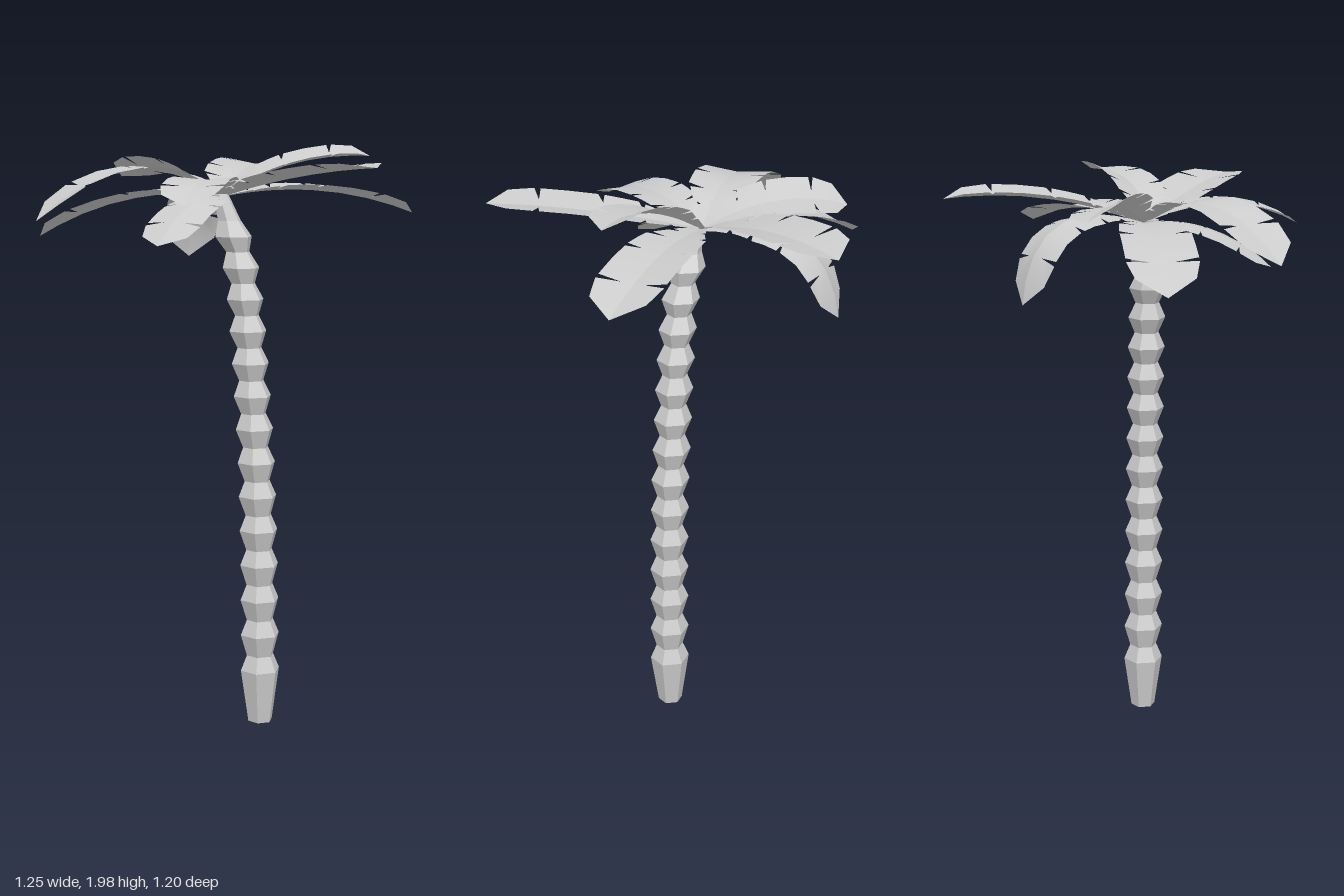
import * as THREE from 'three';

const grey = () => new THREE.MeshStandardMaterial({ color: 0xcccccc });

// Trunk: hexagonal rings that alternate between wide and narrow along a bent axis
function makeTrunk() {
  const axis = new THREE.SplineCurve([
    [0, 0.162], [0.4, 0.159], [0.8, 0.15], [1.2, 0.127], [1.5, 0.102], [1.68, 0.066], [1.82, 0.022],
  ].map(([y, x]) => new THREE.Vector2(y, x)));
  const samples = axis.getPoints(80);
  const xAt = (y) => samples.reduce((a, b) => (Math.abs(b.x - y) < Math.abs(a.x - y) ? b : a)).y;
  const rings = [[0, 0.043]];
  const bulges = 14;
  for (let i = 0; i < bulges; i++) {
    const f = i / (bulges - 1);
    const y = 0.185 + i * (0.128 - 0.013 * f);
    rings.push([y, 0.07 - 0.006 * f], [y + 0.053, 0.048 - 0.008 * f]);
  }
  rings.push([1.82, 0.026]);
  const geo = new THREE.CylinderGeometry(1, 1, 1, 6, rings.length - 1);
  const p = geo.attributes.position;
  for (let i = 0; i < p.count; i++) {
    const [y, r] = rings[Math.round((p.getY(i) + 0.5) * (rings.length - 1))];
    p.setXYZ(i, xAt(y) + p.getX(i) * r, y, 0.094 + p.getZ(i) * r);
  }
  const flat = geo.toNonIndexed();
  flat.computeVertexNormals();
  const mat = grey();
  mat.flatShading = true;
  const mesh = new THREE.Mesh(flat, mat);
  mesh.name = 'trunk';
  return mesh;
}

const BASE = new THREE.Vector3(0.02, 1.81, 0.07);
// Panels between the notches: start, end (along the rib) and outer half widths
const PANELS = [
  [0, 0.14, 0.2, 0.5], [0.14, 0.26, 0.55, 0.8], [0.26, 0.45, 0.9, 1], [0.45, 0.75, 1, 1],
];
const notchWidth = (t) => (t > 0.7 ? 0.35 : 0.15 + 0.4 * Math.min(1, t / 0.45));

// Leaf: two notched halves along an arched rib; fold lifts (+) or drops (-) the edges
function makeLeaf({ tip, rise, width, fold, roll = 0, bend }) {
  const end = new THREE.Vector3(...tip);
  const mid = bend ? new THREE.Vector3(...bend) : BASE.clone().lerp(end, 0.52).setY(rise);
  const rib = new THREE.QuadraticBezierCurve3(BASE, mid, end);
  const heading = end.clone().sub(BASE).setY(0).normalize();
  const across = new THREE.Vector3(-heading.z, 0, heading.x);
  const pos = [];
  const index = [];

  for (const side of [-1, 1]) {
    const seen = new Map();
    const vertex = (t, w) => {
      const key = t.toFixed(4) + '/' + w.toFixed(4);
      if (!seen.has(key)) {
        const tangent = rib.getTangent(t);
        const up = across.clone().cross(tangent).normalize();
        const out = across.clone().applyAxisAngle(tangent, roll);
        up.applyAxisAngle(tangent, roll);
        if (up.y < 0) up.negate();
        const v = rib.getPoint(t).addScaledVector(out, side * w * width)
          .addScaledVector(up, fold * w * width);
        seen.set(key, pos.length / 3);
        pos.push(v.x, v.y, v.z);
      }
      return seen.get(key);
    };
    const tri = (a, b, c) => index.push(...(side > 0 ? [a, c, b] : [a, b, c]));
    const quad = (a, b, c, d) => { tri(a, b, c); tri(a, c, d); };

    for (const [t0, t1, w0, w1] of PANELS) {
      const n = 2;
      for (let i = 0; i < n; i++) {
        const at = (k) => {
          const f = k / n;
          const t = THREE.MathUtils.lerp(t0, t1, f);
          const w = THREE.MathUtils.lerp(w0, w1, f);
          const outerT = THREE.MathUtils.lerp(t0 + 0.025, t1 - 0.005, f);
          return [vertex(t, 0), vertex(t, notchWidth(t)), vertex(outerT, w)];
        };
        const [a, b, c] = at(i);
        const [d, e, f] = at(i + 1);
        quad(a, d, e, b);
        quad(b, e, f, c);
      }
    }
    // pointed end piece
    const r0 = vertex(0.75, 0), r1 = vertex(0.89, 0), r2 = vertex(1, 0);
    const m = vertex(0.75, notchWidth(0.75)), o0 = vertex(0.775, 1), o1 = vertex(0.9, 0.82);
    quad(r0, r1, o1, m);
    tri(m, o1, o0);
    tri(r1, r2, o1);
  }
  const geo = new THREE.BufferGeometry();
  geo.setAttribute('position', new THREE.Float32BufferAttribute(pos, 3));
  geo.setIndex(index);
  geo.computeVertexNormals();
  const mat = grey();
  mat.side = THREE.DoubleSide;
  return new THREE.Mesh(geo, mat);
}

const LEAVES = {
  backLeaf: { tip: [0.035, 1.9, -0.6], rise: 1.94, width: 0.12, fold: 0.2 },
  backLeftSideLeaf: { tip: [0.625, 1.75, -0.245], rise: 1.875, width: 0.115, fold: 0.18 },
  leftLeaf: { tip: [0.5, 1.945, -0.045], bend: [0.25, 1.96, 0.11], width: 0.098, fold: 0.25, roll: 0.15 },
  frontLeftSideLeaf: { tip: [0.587, 1.915, 0.47], rise: 1.9, width: 0.115, fold: 0.18 },
  frontLeaf: { tip: [0.013, 1.8, 0.595], rise: 1.94, width: 0.102, fold: 0.1 },
  frontRightSideLeaf: { tip: [-0.52, 1.74, 0.41], rise: 2.02, width: 0.12, fold: 0.1 },
  rightLeaf: { tip: [-0.63, 1.67, 0.035], rise: 1.855, width: 0.115, fold: 0.18 },
  backRightSideLeaf: { tip: [-0.395, 1.87, -0.18], rise: 1.95, width: 0.1, fold: 0.15, roll: 0.3 },
  backDroopingLeaf: { tip: [-0.195, 1.58, -0.365], bend: [-0.17, 1.96, -0.33], width: 0.105, fold: -0.2 },
  frontDroopingLeaf: { tip: [-0.1, 1.67, 0.48], rise: 1.84, width: 0.1, fold: -0.1 },
};

export function createModel() {
  const model = new THREE.Group();
  model.name = 'palmTree';
  model.add(makeTrunk());
  const crown = new THREE.Group();
  crown.name = 'crown';
  for (const [name, spec] of Object.entries(LEAVES)) {
    const leaf = makeLeaf(spec);
    leaf.name = name;
    crown.add(leaf);
  }
  model.add(crown);
  return model;
}
